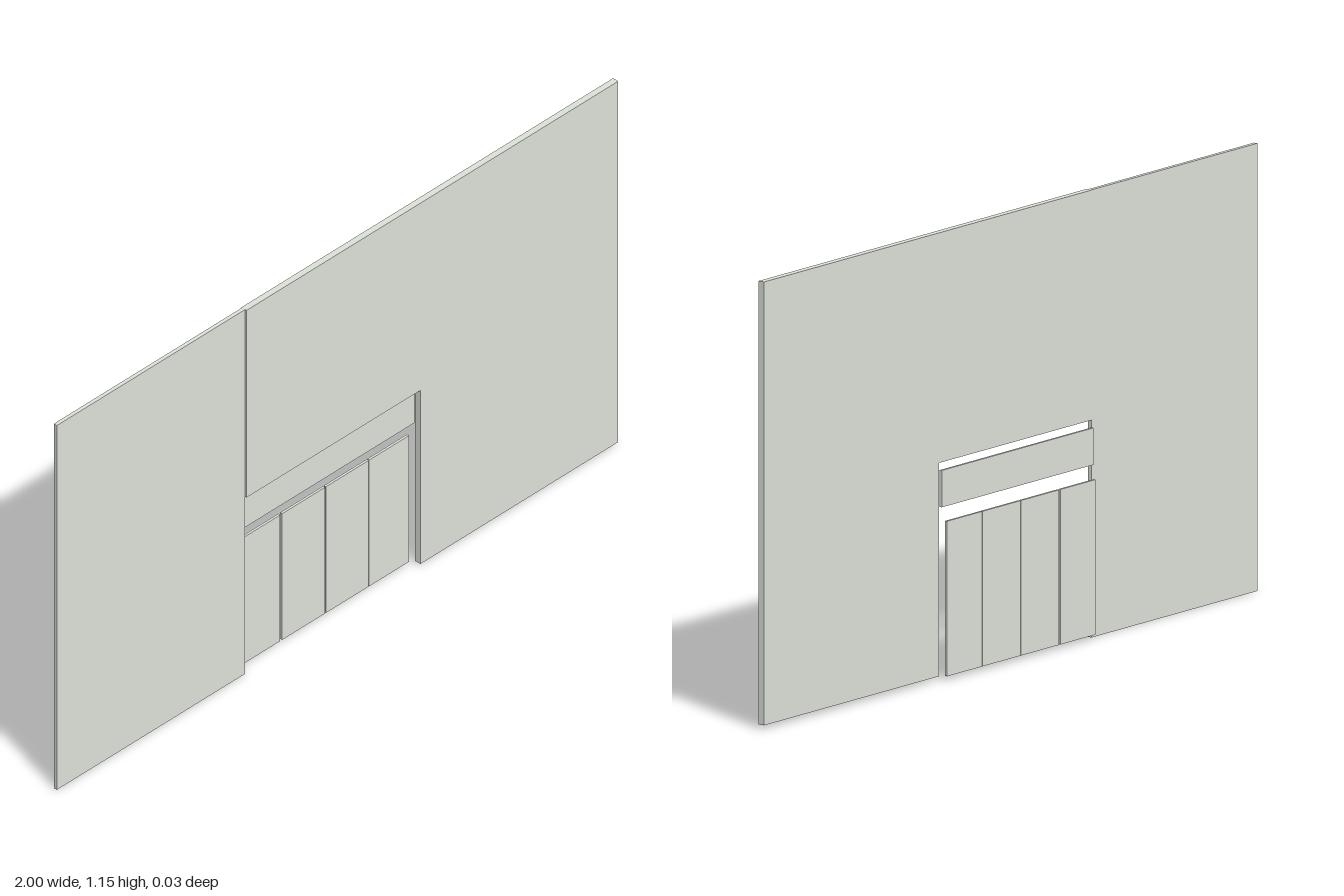
import * as THREE from 'three';

export function createModel() {
  const group = new THREE.Group();
  const paleGrey = new THREE.MeshStandardMaterial({ color: 0xdee3da });

  // Flat panel given by its limits along each axis
  function panel(name, [x0, x1], [y0, y1], [z0, z1]) {
    const mesh = new THREE.Mesh(new THREE.BoxGeometry(x1 - x0, y1 - y0, z1 - z0), paleGrey);
    mesh.position.set((x0 + x1) / 2, (y0 + y1) / 2, (z0 + z1) / 2);
    mesh.name = name;
    group.add(mesh);
  }

  // Thinner wall beside the opening, reaching the ground
  panel('sideWall', [-1, -0.328], [0, 1.152], [0.001, 0.012]);

  // Thicker wall: one L-shaped slab over and beside the opening
  const outline = new THREE.Shape([
    [-0.328, 0.56], [0.293, 0.56], [0.293, 0.011], [1, 0.011], [1, 1.152], [-0.328, 1.152],
  ].map(([x, y]) => new THREE.Vector2(x, y)));
  const slab = new THREE.ExtrudeGeometry(outline, { depth: 0.018, bevelEnabled: false });
  const mainWall = new THREE.Mesh(slab, paleGrey);
  mainWall.position.z = -0.001;
  mainWall.name = 'mainWall';
  group.add(mainWall);

  // Transom panel above the doors
  panel('transomPanel', [-0.322, 0.292], [0.447, 0.542], [-0.01, -0.003]);

  // Row of four door leaves set behind the wall
  [[-0.322, -0.18], [-0.173, -0.02], [-0.017, 0.136], [0.138, 0.28]].forEach((span, i) =>
    panel(`doorLeaf${i + 1}`, span, [0.011, 0.41], [-0.017, -0.01]));

  return group;
}
